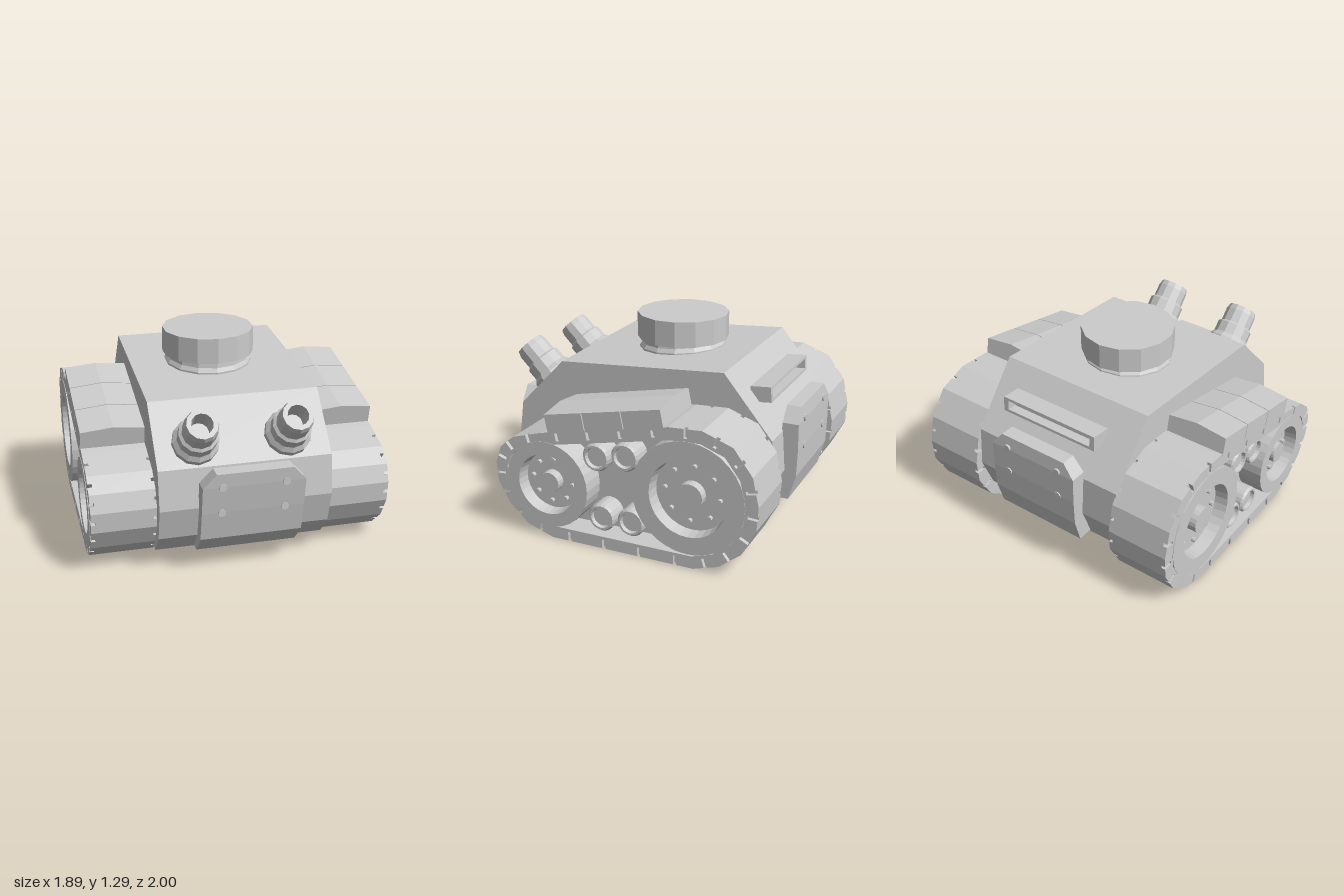
import * as THREE from 'three';

const grey = new THREE.MeshStandardMaterial({ color: 0xcccccc, flatShading: true, side: THREE.DoubleSide });

function add(parent, name, geometry, x = 0, y = 0, z = 0) {
  const mesh = new THREE.Mesh(geometry, grey);
  mesh.name = name;
  mesh.position.set(x, y, z);
  parent.add(mesh);
  return mesh;
}

// Side profile of [z, y] points, extruded across from x0 to x1
function sideExtrude(points, x0, x1, hole) {
  const toVec = ([z, y]) => new THREE.Vector2(-z, y);
  const shape = new THREE.Shape(points.map(toVec));
  if (hole) shape.holes.push(new THREE.Path(hole.map(toVec)));
  return new THREE.ExtrudeGeometry(shape, { depth: x1 - x0, bevelEnabled: false })
    .rotateY(Math.PI / 2).translate(x0, 0, 0);
}

const lathe = (points, sides) =>
  new THREE.LatheGeometry(points.map(([r, h]) => new THREE.Vector2(r, h)), sides);

// Inward offset of a closed convex outline
function inset(points, d) {
  const n = points.length;
  const normal = (a, b) => {
    const l = Math.hypot(b[0] - a[0], b[1] - a[1]);
    return [(b[1] - a[1]) / l, -(b[0] - a[0]) / l];
  };
  return points.map((p, i) => {
    const a = normal(points[(i + n - 1) % n], p), b = normal(p, points[(i + 1) % n]);
    const k = d / (1 + a[0] * b[0] + a[1] * b[1]);
    return [p[0] + (a[0] + b[0]) * k, p[1] + (a[1] + b[1]) * k];
  });
}

// Outline with narrow slots cut between the track links
function notched(points, depth, half) {
  const out = [];
  points.forEach((p, i) => {
    const q = points[(i + 1) % points.length];
    const dx = q[0] - p[0], dy = q[1] - p[1], len = Math.hypot(dx, dy);
    const t = [dx / len, dy / len], count = Math.max(1, Math.round(len / 0.23));
    const at = (s, d) => [p[0] + t[0] * s + t[1] * d, p[1] + t[1] * s - t[0] * d];
    out.push(p);
    for (let k = 0; k < count; k++) {
      const m = len * (k + 0.5) / count;
      out.push(at(m - half, 0), at(m - half, depth), at(m + half, depth), at(m + half, 0));
    }
  });
  return out;
}

// Belt outline in (z, y), listed from the front underside up and over to the rear
const trackOutline = [
  [0.40, 0], [0.58, 0.06], [0.71, 0.18], [0.785, 0.32], [0.795, 0.45], [0.755, 0.56],
  [0.66, 0.64], [0.46, 0.70], [-0.40, 0.88], [-0.61, 0.89], [-0.80, 0.82], [-0.92, 0.66],
  [-0.96, 0.48], [-0.95, 0.33], [-0.86, 0.16], [-0.72, 0.05], [-0.56, 0],
].reverse();

// Plate wheel with raised rim, hub and a ring of bolts
function wheel(parent, name, s, z, y, rim, dish, hub, boltRing) {
  const g = new THREE.Group();
  g.name = name;
  g.position.set(s * 0.74, y, z);
  g.rotation.z = -s * Math.PI / 2;
  add(g, 'rim', lathe([[rim, 0], [rim, 0.205], [dish, 0.205], [dish - 0.01, 0.12], [0, 0.12]], 32));
  add(g, 'hub', new THREE.CylinderGeometry(hub, hub, 0.06, 20), 0, 0.15, 0);
  for (let i = 0; i < 8; i++) {
    const a = (i + 0.1) * Math.PI / 4;
    add(g, 'wheelBolt', new THREE.CylinderGeometry(0.016, 0.016, 0.03, 8),
      boltRing * Math.cos(a), 0.13, boltRing * Math.sin(a));
  }
  parent.add(g);
}

function trackUnit(s) {
  const g = new THREE.Group();
  g.name = s > 0 ? 'leftTrack' : 'rightTrack';
  const across = (pts, a, b, hole) => sideExtrude(pts, s > 0 ? a : -b, s > 0 ? b : -a, hole);
  const inner = inset(trackOutline, 0.08);
  const slotted = notched(trackOutline, 0.06, 0.011);
  add(g, 'trackBelt', across(trackOutline, 0.56, 0.915, inner));
  add(g, 'outerLinks', across(slotted, 0.915, 0.942, inner));
  add(g, 'innerLinks', across(slotted, 0.535, 0.56, inner));
  add(g, 'innerPanel', across(inset(trackOutline, 0.07), 0.537, 0.78));

  wheel(g, 'rearWheel', s, -0.52, 0.45, 0.36, 0.247, 0.085, 0.177);
  wheel(g, 'frontWheel', s, 0.43, 0.36, 0.285, 0.2, 0.07, 0.142);

  // Small rollers between the wheels
  for (const [z, y] of [[0.10, 0.585], [-0.095, 0.62], [0.07, 0.19], [-0.13, 0.195]]) {
    const roller = add(g, 'roller', lathe([[0.09, 0], [0.09, 0.15], [0.08, 0.165], [0.067, 0.165],
      [0.062, 0.14], [0, 0.14]], 20), s * 0.75, y, z);
    roller.rotation.z = -s * Math.PI / 2;
  }

  // Three-piece ridged guard above the belt
  const guard = new THREE.Group();
  guard.name = 'trackGuard';
  guard.position.set(s * 0.738, 0.867, -0.37);
  guard.rotation.x = Math.atan2(0.155, 0.78);
  const section = new THREE.Shape([[-0.205, -0.01], [0.205, -0.01], [0.205, 0.113], [0, 0.135], [-0.205, 0.113]]
    .map(p => new THREE.Vector2(...p)));
  for (let i = 0; i < 3; i++) {
    add(guard, 'guardSegment', new THREE.ExtrudeGeometry(section, { depth: 0.26, bevelEnabled: false }),
      0, 0, i * 0.266);
  }
  g.add(guard);
  return g;
}

// Bent armour plate: each row is [y, half width, outer z, inner z], top to bottom
function armourPlate(rows) {
  const n = rows.length - 1;
  const geo = new THREE.BoxGeometry(1, 1, 1, 1, n, 1);
  const p = geo.attributes.position;
  for (let i = 0; i < p.count; i++) {
    const [y, w, zo, zi] = rows[Math.round((0.5 - p.getY(i)) * n)];
    p.setXYZ(i, Math.sign(p.getX(i)) * w, y, p.getZ(i) > 0 ? zo : zi);
  }
  geo.computeVertexNormals();
  return geo;
}

function plateWithBolts(name, rows, bolts) {
  const g = new THREE.Group();
  g.name = name;
  add(g, 'plate', armourPlate(rows));
  for (const [y, z] of bolts) for (const x of [-0.195, 0.195]) {
    add(g, 'plateBolt', new THREE.CylinderGeometry(0.024, 0.024, 0.03, 10), x, y, z).rotation.x = Math.PI / 2;
  }
  return g;
}

export function createModel() {
  const model = new THREE.Group();
  model.name = 'tank';

  add(model, 'hull', sideExtrude([
    [0.53, 1.03], [0.84, 0.71], [0.875, 0.46], [0.82, 0.25], [0.70, 0.11],
    [-0.70, 0.11], [-0.83, 0.25], [-0.91, 0.46], [-0.89, 0.72], [-0.575, 1.105],
  ], -0.542, 0.535));

  model.add(trackUnit(1), trackUnit(-1));

  // Armour plates at both ends
  const front = plateWithBolts('frontPlate', [
    [0.72, 0.235, 0.985, 0.89], [0.63, 0.317, 0.975, 0.88], [0.45, 0.317, 0.945, 0.85],
    [0.26, 0.317, 0.905, 0.80], [0.13, 0.317, 0.79, 0.70],
  ], [[0.63, 0.968], [0.45, 0.94]]);
  front.position.x = 0.015;
  const rear = plateWithBolts('rearPlate', [
    [0.86, 0.24, 0.976, 0.885], [0.77, 0.317, 0.988, 0.885], [0.60, 0.317, 0.99, 0.88],
    [0.43, 0.317, 0.985, 0.87], [0.27, 0.317, 0.94, 0.80],
  ], [[0.78, 0.982], [0.60, 0.983]]);
  rear.position.x = 0.02;
  rear.rotation.y = Math.PI;
  model.add(front, rear);

  // Turret: neck on the sloping roof, drum above
  const neck = add(model, 'turretNeck', lathe([[0.285, -0.04], [0.285, 0.01], [0.268, 0.035], [0.262, 0.08]], 14),
    -0.025, 1.07, -0.065);
  neck.rotation.x = 0.06;
  add(model, 'turretDrum', new THREE.CylinderGeometry(0.299, 0.299, 0.165, 14), -0.025, 1.21, -0.065);

  // Twin stepped barrels on the front slope
  for (const x of [-0.292, 0.282]) {
    const barrel = add(model, 'barrel', lathe([[0.145, -0.03], [0.145, 0.045], [0.122, 0.075], [0.122, 0.15],
      [0.105, 0.165], [0.105, 0.255], [0.095, 0.29], [0.066, 0.29], [0.06, 0.16], [0, 0.16]], 12), x, 0.82, 0.725);
    barrel.rotation.x = Math.PI / 4;
  }

  // Rear vent: shallow frame with a recessed slot
  const vent = new THREE.Group();
  vent.name = 'rearVent';
  vent.position.set(0.023, 0.945, -0.755);
  vent.rotation.x = 0.08;
  for (const y of [-0.04, 0.04]) add(vent, 'ventRail', new THREE.BoxGeometry(0.705, 0.018, 0.13), 0, y, 0);
  for (const x of [-0.335, 0.335]) add(vent, 'ventEnd', new THREE.BoxGeometry(0.035, 0.08, 0.13), x, 0, 0);
  add(vent, 'ventBack', new THREE.BoxGeometry(0.67, 0.07, 0.06), 0, 0, 0.03);
  model.add(vent);

  return model;
}
